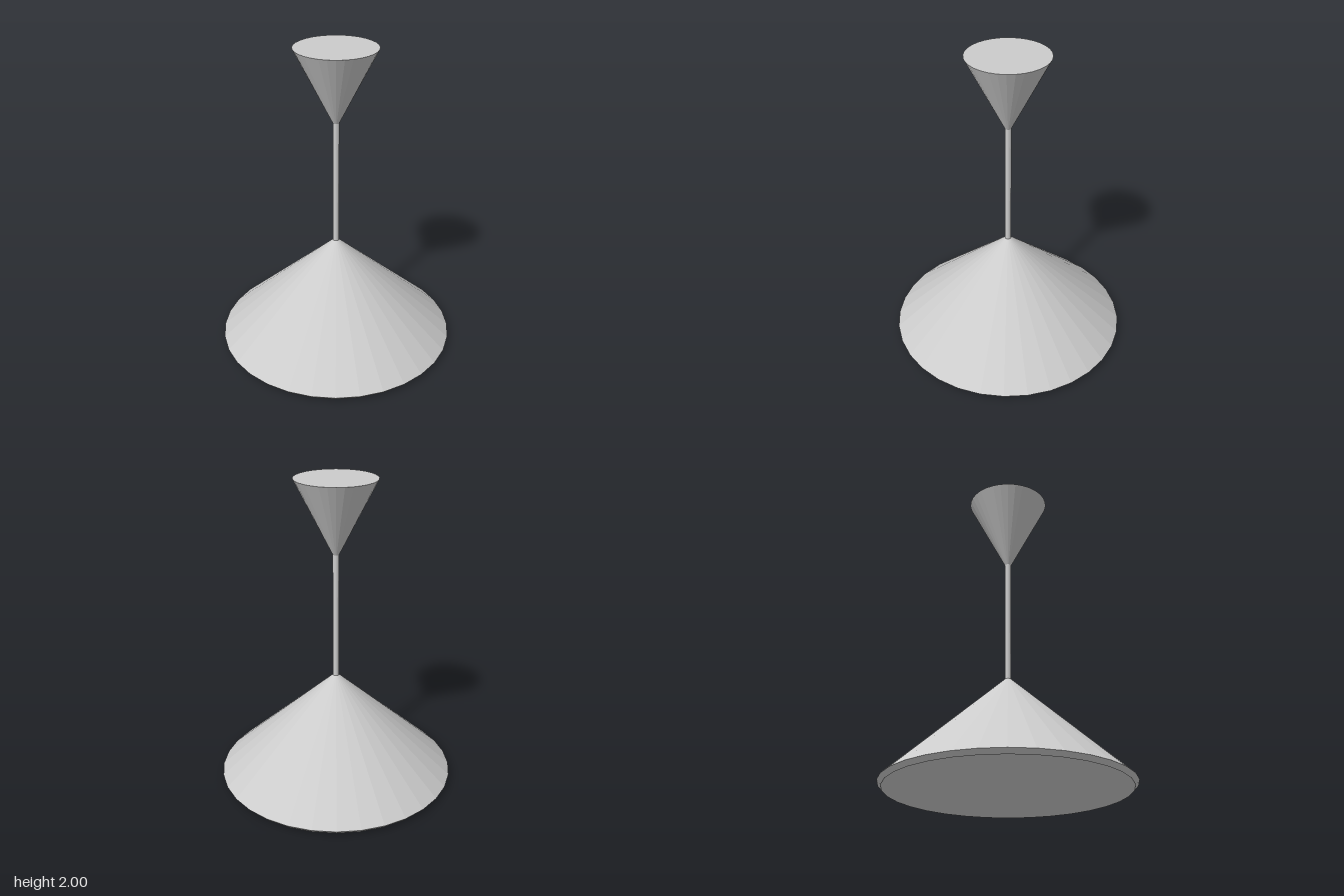
import * as THREE from 'three';

const SEGMENTS = 32;
const ROD_RADIUS = 0.02;

export function createModel() {
  const lamp = new THREE.Group();
  lamp.name = 'pendantLamp';
  const material = new THREE.MeshStandardMaterial({ color: 0xcccccc, flatShading: true });

  // Turns a profile of [radius, height] points around the y axis
  function addTurned(name, profile, segments = SEGMENTS) {
    const points = profile.map(([r, y]) => new THREE.Vector2(r, y));
    const mesh = new THREE.Mesh(new THREE.LatheGeometry(points, segments), material);
    mesh.name = name;
    lamp.add(mesh);
  }

  // Hollow conical shade: inside, bevelled rim, outside
  addTurned('shade', [
    [0, 0.67], [0.745, 0], [0.77, 0.028], [ROD_RADIUS, 0.705], [0, 0.705],
  ]);

  // Thin stem between shade and canopy
  addTurned('stem', [
    [0, 0.69], [ROD_RADIUS, 0.69], [ROD_RADIUS, 1.54], [0, 1.54],
  ]);

  // Inverted cone fixed to the ceiling
  addTurned('ceilingCanopy', [
    [0, 1.525], [ROD_RADIUS, 1.525], [0.26, 2], [0, 2],
  ]);

  return lamp;
}
